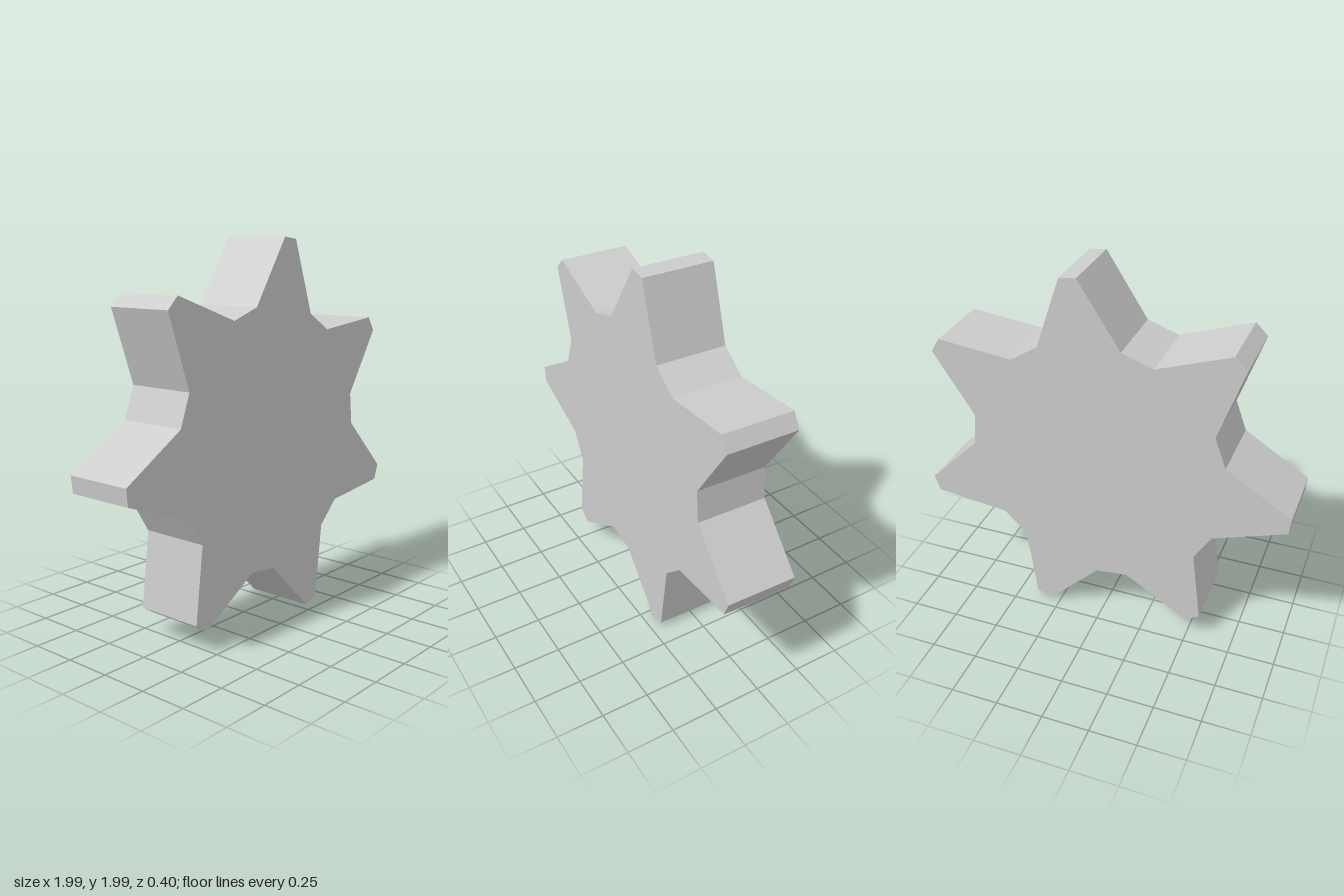
import * as THREE from 'three';

export function createModel() {
  const group = new THREE.Group();
  const teeth = 7, tipRadius = 1.018, rootRadius = 0.691, depth = 0.376;
  const deg = THREE.MathUtils.degToRad;

  // Outline: every tooth has two root corners and two narrow tip corners
  const points = [];
  for (let i = 0; i < teeth; i++) {
    const centre = deg(82.85) + (i / teeth) * Math.PI * 2;
    for (const [offset, r] of [[-18.5, rootRadius], [-2.5, tipRadius], [2.5, tipRadius], [18.5, rootRadius]]) {
      const a = centre + deg(offset);
      points.push(new THREE.Vector2(r * Math.cos(a), r * Math.sin(a)));
    }
  }

  // Solid plate with pointed teeth
  const geometry = new THREE.ExtrudeGeometry(new THREE.Shape(points), { depth, bevelEnabled: false });
  geometry.translate(0, 0, -depth / 2);
  const gear = new THREE.Mesh(geometry, new THREE.MeshStandardMaterial({ color: 0xcccccc, flatShading: true }));
  gear.name = 'toothedWheel';

  // Very slight lean
  gear.rotation.set(-0.0045, -0.0135, 0);
  gear.position.set(0.02, 0.986, 0);
  group.add(gear);
  return group;
}
